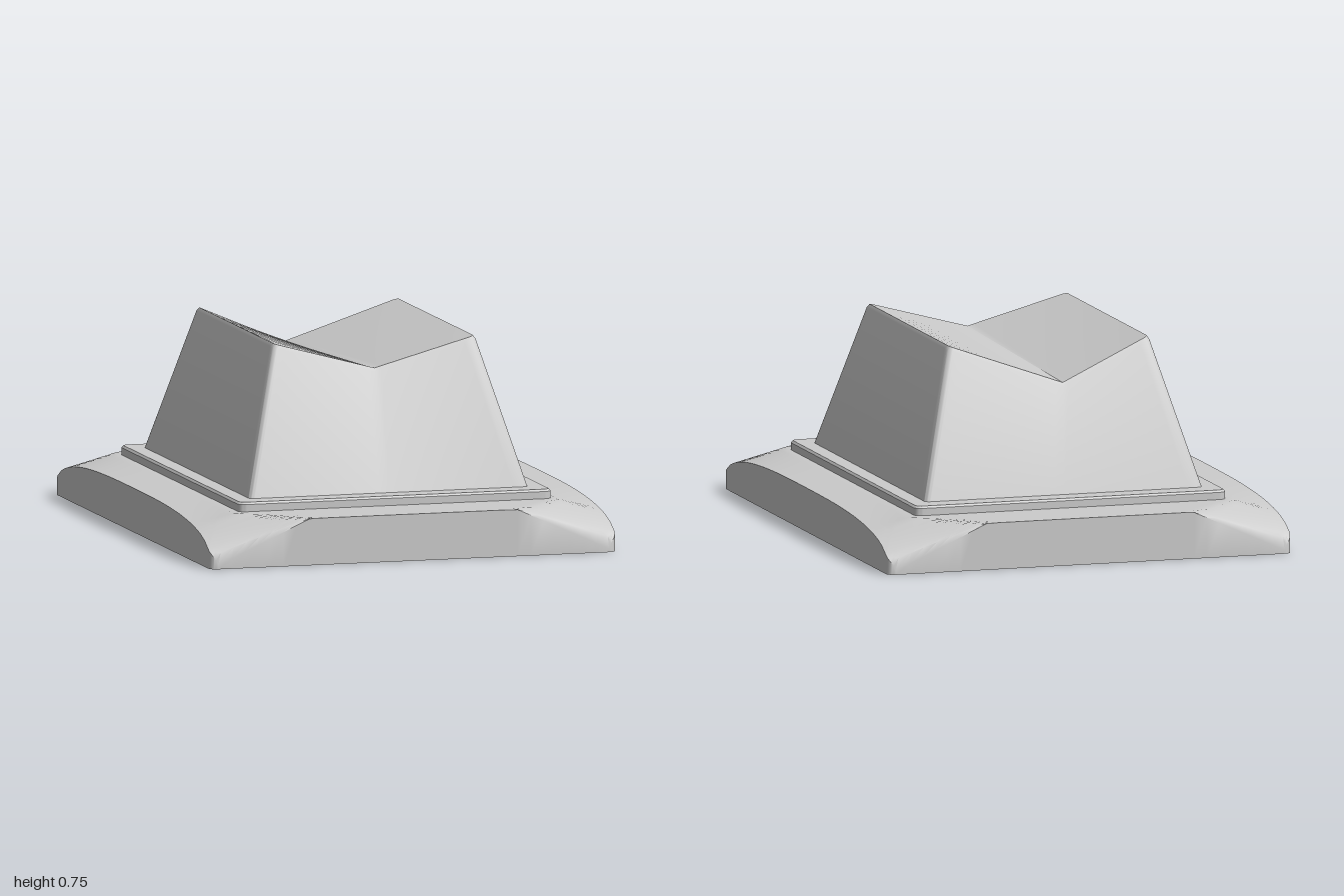
import * as THREE from 'three';
import { toCreasedNormals } from 'three/addons/utils/BufferGeometryUtils.js';

const material = new THREE.MeshStandardMaterial({ color: 0xcccccc, side: THREE.DoubleSide });
const { lerp, clamp } = THREE.MathUtils;
const SIDE = 20, ARC = 6, FRONT = 30;

// Rounded rectangle as [x, z] points: front half left to right, then its mirror at the back.
function outline(hx, hz, r) {
  const half = [];
  for (let i = 0; i < SIDE; i++) half.push([-hx, (hz - r) * i / SIDE]);
  for (let i = 0; i < ARC; i++) {
    const a = Math.PI / 2 * i / ARC;
    half.push([-hx + r - r * Math.cos(a), hz - r + r * Math.sin(a)]);
  }
  for (let i = 0; i < FRONT / 2; i++) half.push([-(hx - r) * (1 - 2 * i / FRONT), hz]);
  const right = half.map(([x, z]) => [-x, z]).reverse();
  const front = [...half, [0, hz], ...right];
  return [...front, ...front.map(([x, z]) => [x, -z]).reverse()];
}

// Skin over closed rings of [x, y, z]; an optional roof bridges the last ring front to back.
function loft(name, rings, crease, roof = false) {
  const n = rings[0].length, index = [];
  for (let k = 0; k < rings.length - 1; k++) {
    for (let i = 0; i < n; i++) {
      const a = k * n + i, b = k * n + (i + 1) % n;
      index.push(a, b, b + n, a, b + n, a + n);
    }
  }
  if (roof) {
    const base = (rings.length - 1) * n;
    for (let i = 0; i < n / 2 - 1; i++) {
      const a = base + i, b = a + 1, c = base + n - 1 - i, d = c - 1;
      index.push(a, b, d, a, d, c);
    }
  }
  const g = new THREE.BufferGeometry();
  g.setAttribute('position', new THREE.Float32BufferAttribute(rings.flat(2), 3));
  g.setIndex(index);
  const mesh = new THREE.Mesh(toCreasedNormals(g, crease), material);
  mesh.name = name;
  return mesh;
}

const flatRing = (hx, hz, r, y) => outline(hx, hz, r).map(([x, z]) => [x, y, z]);

// Brim height: flat in the middle, falling to an arch along each side edge.
function brimHeight(x, z) {
  const az = Math.min(Math.abs(z), 1);
  const arch = 0.165 * Math.cbrt(1 - az ** 3);
  const start = lerp(0.62, 0.4, clamp((az - 0.8) / 0.2, 0, 1));
  const w = clamp((Math.abs(x) - start) / (0.785 - start), 0, 1);
  return lerp(0.175, arch, w);
}

function makeBrim() {
  const outer = outline(0.785, 1, 0.03), hole = outline(0.59, 0.755, 0.2);
  const rings = [outer.map(([x, z]) => [x, 0, z])];
  const steps = 14;
  for (let k = 0; k <= steps; k++) {
    const t = (k / steps) ** 1.3;
    rings.push(outer.map(([x, z], i) => {
      const px = lerp(x, hole[i][0], t), pz = lerp(z, hole[i][1], t);
      return [px, brimHeight(px, pz), pz];
    }));
  }
  return loft('brim', rings, 0.6);
}

// Thin raised ledge around the foot of the crown
function makeBand() {
  return loft('band', [
    flatRing(0.605, 0.77, 0.03, 0.17),
    flatRing(0.605, 0.77, 0.03, 0.202),
    flatRing(0.598, 0.763, 0.025, 0.21),
    flatRing(0.535, 0.68, 0.02, 0.21),
  ], 0.6);
}

// Tapered hollow crown with a valley that runs down toward the back
function makeCrown() {
  const topRing = (inset, dy) => {
    const hx = 0.393 - inset, hz = 0.503 - inset;
    return outline(hx, hz, 0.02).map(([x, z]) => {
      const dip = 1 - Math.abs(x) / hx, back = z < 0;
      const edge = clamp(Math.abs(z) / hz, 0, 1);
      return [
        x - (back ? 0.04 * dip : 0),
        0.755 - dy - (back ? 0.15 : 0.105) * dip,
        z - (back ? 0.045 * dip * edge : 0),
      ];
    });
  };
  const base = flatRing(0.54, 0.685, 0.02, 0.205);
  return loft('crown', [base, topRing(0, 0.012), topRing(0.008, 0)], 0.6, true);
}

export function createModel() {
  const model = new THREE.Group();
  model.name = 'hat';
  model.add(makeBrim(), makeBand(), makeCrown());
  return model;
}
